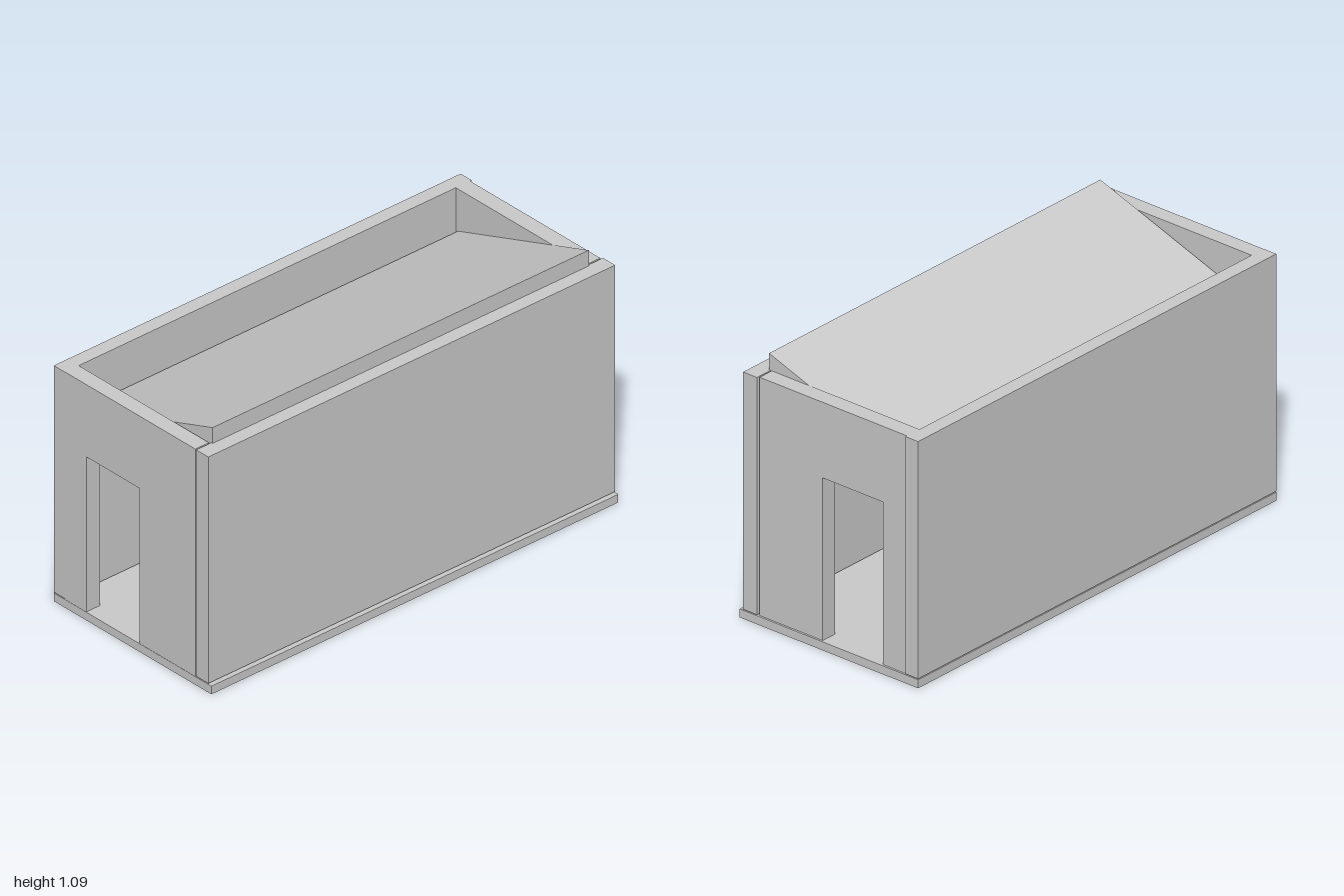
import * as THREE from 'three';

const material = new THREE.MeshStandardMaterial({ color: 0xcccccc, flatShading: true });

// Box given by its min and max along each axis
function slab(name, [x0, x1], [y0, y1], [z0, z1]) {
  const mesh = new THREE.Mesh(new THREE.BoxGeometry(x1 - x0, y1 - y0, z1 - z0), material);
  mesh.position.set((x0 + x1) / 2, (y0 + y1) / 2, (z0 + z1) / 2);
  mesh.name = name;
  return mesh;
}

// Outline drawn as [z, y] points, extruded along x from x0 to x1
function profileAlongX(name, points, x0, x1) {
  const shape = new THREE.Shape(points.map(([z, y]) => new THREE.Vector2(-z, y)));
  const geometry = new THREE.ExtrudeGeometry(shape, { depth: x1 - x0, bevelEnabled: false });
  geometry.rotateY(Math.PI / 2);
  geometry.translate(x0, 0, 0);
  const mesh = new THREE.Mesh(geometry, material);
  mesh.name = name;
  return mesh;
}

export function createModel() {
  const group = new THREE.Group();
  group.name = 'shelter';

  const floorTop = 0.035;
  const wallTop = 1.017;

  // Floor slab and long walls
  group.add(
    slab('floor', [-1, 1], [0, floorTop], [-0.433, 0.435]),
    slab('frontWall', [-1, 1], [0.039, wallTop], [0.351, 0.418]),
    slab('backWall', [-1, 1], [0.039, wallTop], [-0.433, -0.372]),
  );

  // End walls, each with a doorway open down to the floor
  const doorFront = 0.038, doorBack = -0.255, doorTop = 0.705;
  const endWall = [
    [0.345, floorTop], [0.345, wallTop], [-0.372, wallTop], [-0.372, floorTop],
    [doorBack, floorTop], [doorBack, doorTop], [doorFront, doorTop], [doorFront, floorTop],
  ];
  group.add(
    profileAlongX('leftEndWall', endWall, 0.922, 0.992),
    profileAlongX('rightEndWall', endWall, -0.999, -0.932),
  );

  // Lean-to roof, falling from the front to the back between the walls
  const thickness = 0.14;
  const front = [0.358, 1.085], back = [-0.36, 0.835];
  group.add(profileAlongX('roof', [
    front, back, [back[0], back[1] - thickness], [front[0], front[1] - thickness],
  ], -0.925, 0.924));

  return group;
}
